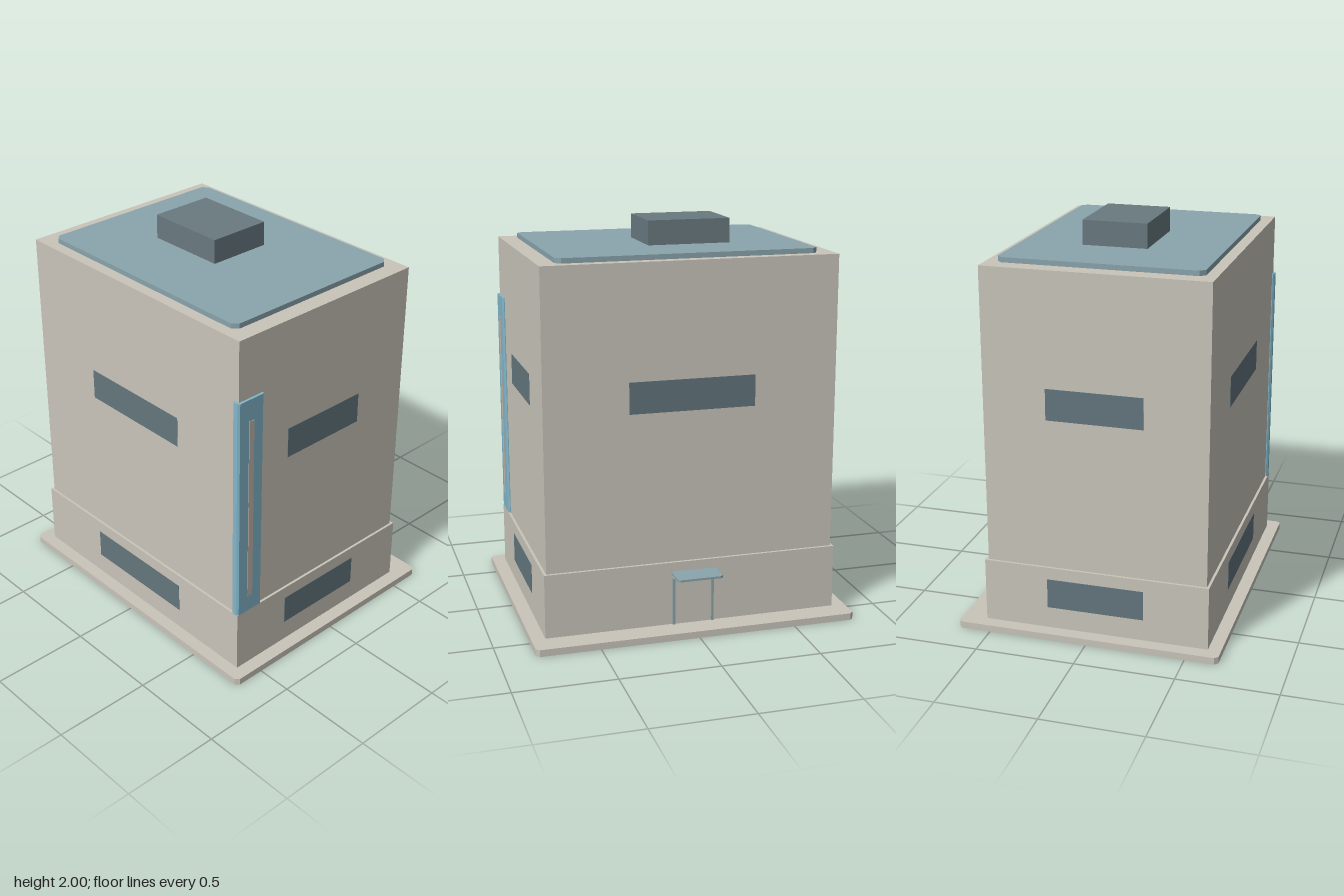
import * as THREE from 'three';

const mat = (name, color) => {
  const m = new THREE.MeshStandardMaterial({ color });
  m.name = name;
  return m;
};

export function createModel() {
  const stone = mat('pale stone', 0xc9c5ba);
  const slate = mat('slate glass', 0x63767d);
  const roofBlue = mat('muted blue', 0x8aa4ac);
  const signBlue = mat('bright blue', 0x82b6ca);
  const trim = mat('warm trim', 0xc4b8ad);
  const unitGrey = mat('roof unit grey', 0x697a80);

  const building = new THREE.Group();
  building.name = 'building';

  const add = (name, geometry, material) => {
    const mesh = new THREE.Mesh(geometry, material);
    mesh.name = name;
    building.add(mesh);
    return mesh;
  };

  // Box given by its limits on each axis
  const box = (name, material, [x0, x1], [y0, y1], [z0, z1]) => {
    const g = new THREE.BoxGeometry(x1 - x0, y1 - y0, z1 - z0);
    g.translate((x0 + x1) / 2, (y0 + y1) / 2, (z0 + z1) / 2);
    return add(name, g, material);
  };

  // Upright slab whose plan has cut corners of size c
  const slab = (name, material, [x0, x1], [y0, y1], [z0, z1], c) => {
    const plan = new THREE.Shape([
      [x0 + c, -z1], [x1 - c, -z1], [x1, -z1 + c], [x1, -z0 - c],
      [x1 - c, -z0], [x0 + c, -z0], [x0, -z0 - c], [x0, -z1 + c],
    ].map(([x, y]) => new THREE.Vector2(x, y)));
    const g = new THREE.ExtrudeGeometry(plan, { depth: y1 - y0, bevelEnabled: false });
    g.rotateX(-Math.PI / 2);
    g.translate(0, y0, 0);
    return add(name, g, material);
  };

  // Main masses
  slab('baseSlab', stone, [-0.665, 0.665], [0, 0.035], [-0.82, 0.82], 0.018);
  box('podium', stone, [-0.6, 0.54], [0.035, 0.36], [-0.75, 0.75]);
  box('tower', stone, [-0.587, 0.525], [0.36, 1.853], [-0.737, 0.737]);
  slab('roofPanel', roofBlue, [-0.53, 0.47], [1.853, 1.878], [-0.65, 0.65], 0.026);
  box('roofUnit', unitGrey, [-0.165, 0.16], [1.878, 2], [-0.3, 0.12]);

  // Window bands on each storey: half extents of the wall, height range, window half widths
  const storeys = [
    { name: 'podium', x0: -0.6, x1: 0.54, z: 0.75, y: [0.145, 0.297], w: 0.245, d: 0.32 },
    { name: 'tower', x0: -0.587, x1: 0.525, z: 0.737, y: [1.125, 1.282], w: 0.24, d: 0.317 },
  ];
  const t = 0.002;
  for (const s of storeys) {
    const spanX = [-0.03 - s.w, -0.03 + s.w];
    const spanZ = [-s.d, s.d];
    box(`${s.name}FrontWindow`, slate, spanX, s.y, [s.z - t, s.z + t]);
    box(`${s.name}BackWindow`, slate, spanX, s.y, [-s.z - t, -s.z + t]);
    box(`${s.name}LeftFlankWindow`, slate, [s.x0 - t, s.x0 + t], s.y, spanZ);
    // The podium has its entrance on this side
    if (s.name === 'tower') box('towerEntranceSideWindow', slate, [s.x1 - t, s.x1 + t], s.y, spanZ);
  }

  // Tall corner panel with a narrow inlay
  slab('cornerPanel', signBlue, [-0.6, -0.44], [0.36, 1.547], [0.706, 0.75], 0.009);
  box('cornerPanelInlay', trim, [-0.535, -0.505], [0.45, 1.435], [0.748, 0.753]);

  // Entrance: door, frame posts, lintel and canopy
  box('door', stone, [0.538, 0.543], [0.035, 0.282], [-0.095, 0.095]);
  for (const side of [-1, 1]) {
    const z = side * 0.1;
    box('doorPost', roofBlue, [0.538, 0.551], [0.035, 0.285], [z - 0.006, z + 0.006]);
  }
  box('doorLintel', stone, [0.538, 0.57], [0.282, 0.302], [-0.106, 0.106]);
  slab('canopy', roofBlue, [0.538, 0.665], [0.302, 0.313], [-0.117, 0.113], 0.01);

  return building;
}
